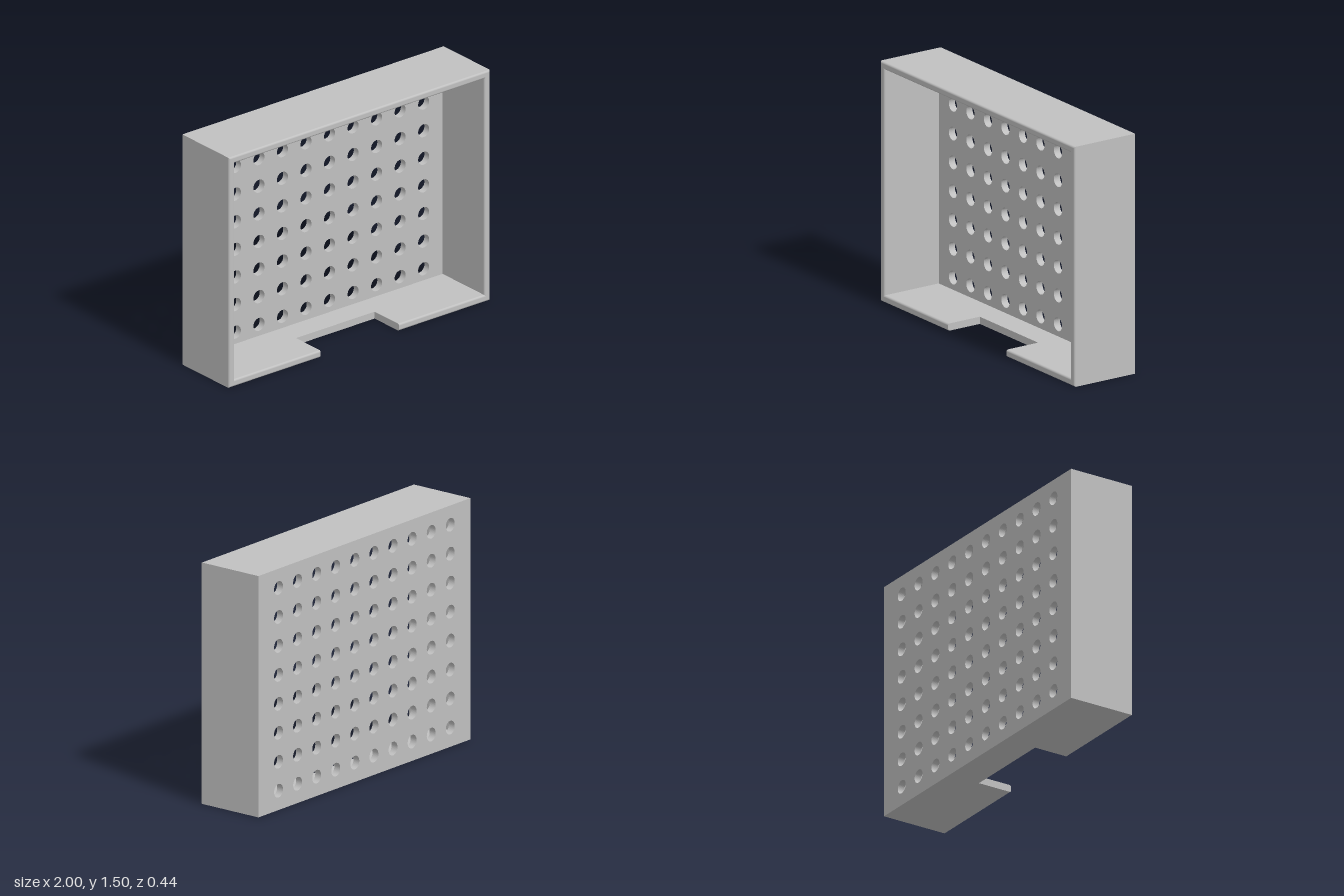
import * as THREE from 'three';

const W = 1, H = 1.5, Z = 0.22;      // half width, height, half depth
const T = 0.045, R = 0.012;          // wall thickness, front edge rounding
const NOTCH = 0.3, NOTCH_Z = -0.01;  // half width and rear end of the notch
const BACK = -Z + T;

// Wall cross-section: inset from the outside, z, and normal (inward, z)
function wallProfile() {
  const pts = [[0, BACK, -1, 0]];
  const arc = (cx, from, to) => {
    for (let i = 0; i <= 6; i++) {
      const a = from + (to - from) * i / 6;
      pts.push([cx + R * Math.cos(a), Z - R + R * Math.sin(a), Math.cos(a), Math.sin(a)]);
    }
  };
  arc(R, Math.PI, Math.PI / 2);
  arc(T - R, Math.PI / 2, 0);
  pts.push([T, BACK, 1, 0]);
  return pts;
}

// Sweep the cross-section round the rectangle with mitred corners
function frameGeometry(profile) {
  const path = d => [[NOTCH, d], [W - d, d], [W - d, H - d], [-W + d, H - d], [-W + d, d], [-NOTCH, d]];
  const outward = [[0, -1], [1, 0], [0, 1], [-1, 0], [0, -1]];
  const pos = [], nor = [], index = [];
  outward.forEach(([ox, oy], s) => {
    const base = pos.length / 3;
    profile.forEach(([d, z, nd, nz], j) => {
      const p = path(d);
      for (const [x, y] of [p[s], p[s + 1]]) {
        pos.push(x, y, z);
        nor.push(-ox * nd, -oy * nd, nz);
      }
      if (j < profile.length - 1) {
        const a = base + j * 2;
        index.push(a, a + 1, a + 3, a, a + 3, a + 2);
      }
    });
  });
  const g = new THREE.BufferGeometry();
  g.setAttribute('position', new THREE.Float32BufferAttribute(pos, 3));
  g.setAttribute('normal', new THREE.Float32BufferAttribute(nor, 3));
  g.setIndex(index);
  return g;
}

export function createModel() {
  const group = new THREE.Group();
  group.name = 'perforatedTray';
  const grey = new THREE.MeshStandardMaterial({ color: 0xc0c0c0 });
  grey.name = 'grey';
  const add = (name, geometry) => {
    const mesh = new THREE.Mesh(geometry, grey);
    mesh.name = name;
    group.add(mesh);
    return mesh;
  };

  // Back panel with a 10 by 8 grid of round holes
  const panel = new THREE.Shape([[-W, 0], [W, 0], [W, H], [-W, H]].map(p => new THREE.Vector2(...p)));
  for (let c = 0; c < 10; c++) {
    for (let r = 0; r < 8; r++) {
      const hole = new THREE.Path();
      hole.absarc((c - 4.5) * 0.18, 0.12 + r * 0.18, 0.042, 0, Math.PI * 2, true);
      panel.holes.push(hole);
    }
  }
  const panelGeometry = new THREE.ExtrudeGeometry(panel, { depth: T, bevelEnabled: false, curveSegments: 32 });
  add('backPanel', panelGeometry.translate(0, 0, -Z));

  // Surrounding walls with a rounded front rim
  const profile = wallProfile();
  add('sideWalls', frameGeometry(profile));

  // Floor strip behind the notch
  const strip = add('notchFloor', new THREE.BoxGeometry(NOTCH * 2, T, NOTCH_Z - BACK));
  strip.position.set(0, T / 2, (NOTCH_Z + BACK) / 2);

  // Flat cheeks of the notch
  for (const side of [1, -1]) {
    const shape = new THREE.Shape(profile.map(([d, z]) => new THREE.Vector2(z * side, d)));
    const cheek = new THREE.ShapeGeometry(shape).rotateY(-side * Math.PI / 2);
    add(side > 0 ? 'leftNotchCheek' : 'rightNotchCheek', cheek.translate(side * NOTCH, 0, 0));
  }
  return group;
}
